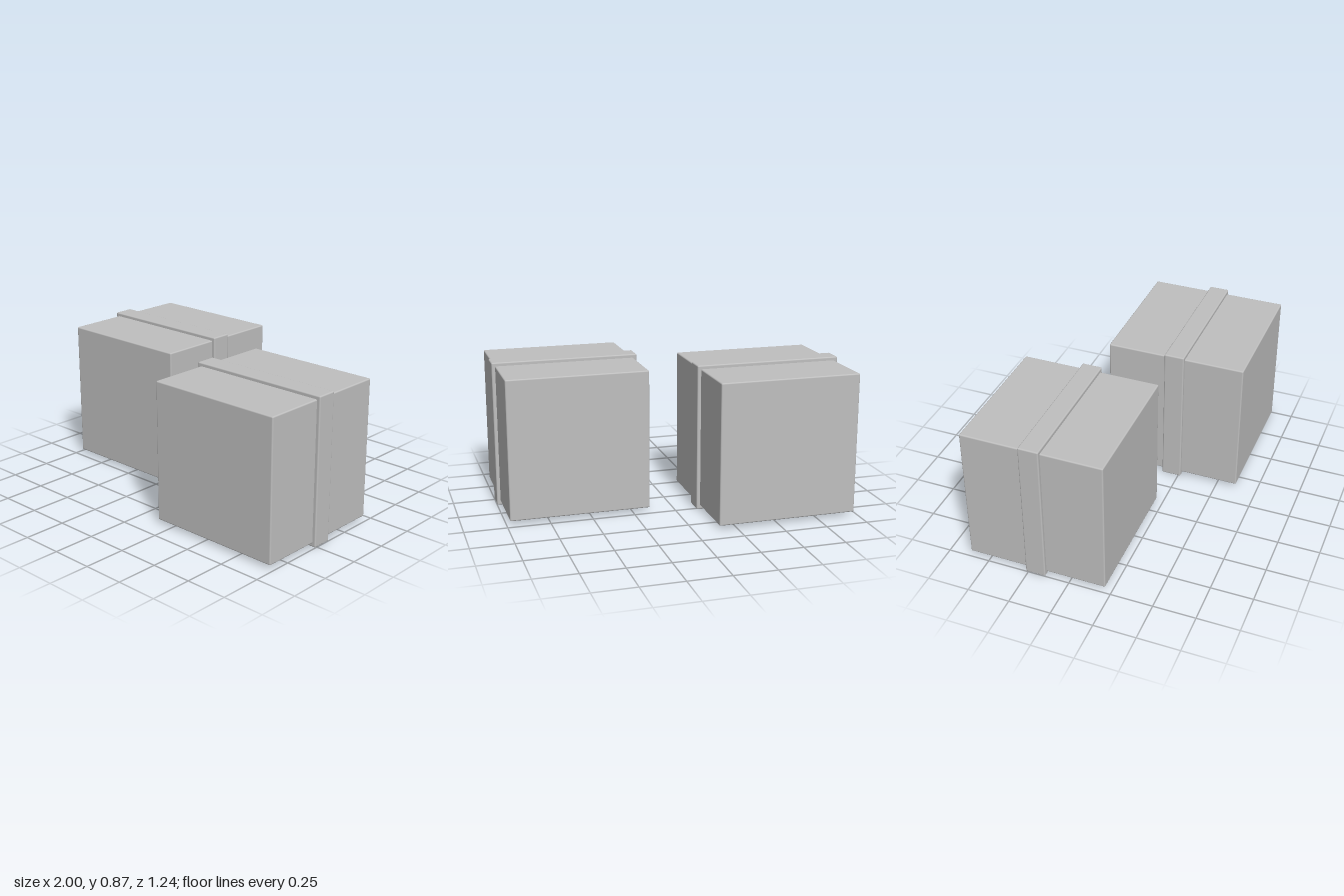
import * as THREE from 'three';
import { RoundedBoxGeometry } from 'three/addons/geometries/RoundedBoxGeometry.js';

export function createModel() {
  const model = new THREE.Group();
  model.name = 'bandedCrates';

  const grey = new THREE.MeshStandardMaterial({ color: 0xbfbfbf });
  grey.name = 'grey';

  const bandSize = 0.874, boxSize = 0.832;
  const boxGeometry = new RoundedBoxGeometry(boxSize, boxSize, boxSize, 2, 0.008);
  const bandGeometry = new RoundedBoxGeometry(bandSize, bandSize, 0.12, 2, 0.008);

  // Two identical crates, set diagonally
  for (const [side, s] of [['left', 1], ['right', -1]]) {
    const crate = new THREE.Group();
    crate.name = side + 'Crate';
    crate.position.set(s * (1 - bandSize / 2), bandSize / 2, s * 0.205);

    // Cube body
    const body = new THREE.Mesh(boxGeometry, grey);
    body.name = side + 'Body';

    // Raised band around the middle
    const band = new THREE.Mesh(bandGeometry, grey);
    band.name = side + 'Band';

    crate.add(body, band);
    model.add(crate);
  }
  return model;
}
